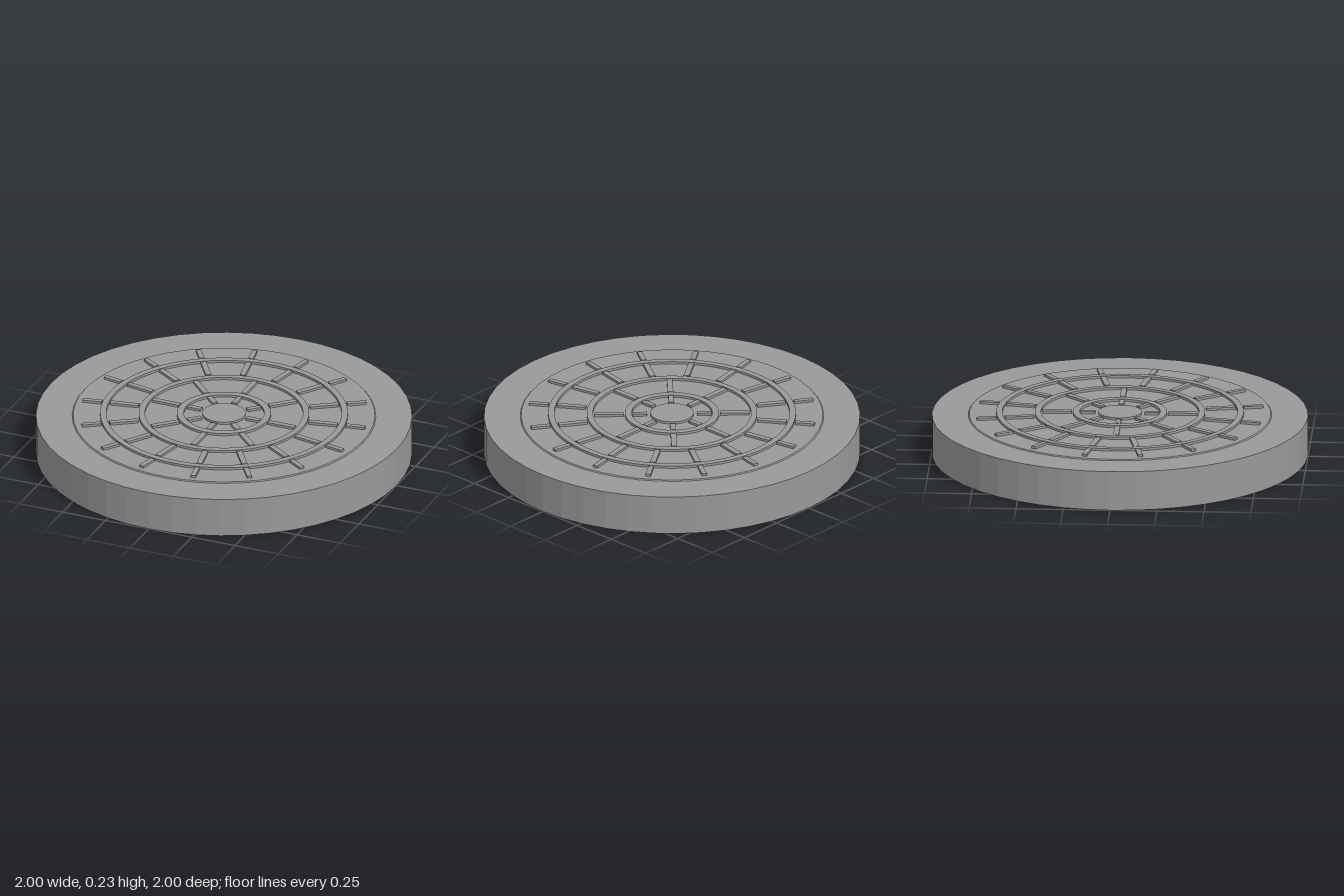
import * as THREE from 'three';

const SEGMENTS = 48;
const BASE_TOP = 0.215;
const PANEL_TOP = 0.221;
const RELIEF_TOP = 0.234;

export function createModel() {
  const model = new THREE.Group();
  model.name = 'roundMedallion';
  const material = new THREE.MeshStandardMaterial({ color: 0x999999, flatShading: true });

  const add = (name, geometry, parent = model) => {
    const mesh = new THREE.Mesh(geometry, material);
    mesh.name = name;
    parent.add(mesh);
    return mesh;
  };

  // Solid disc between two heights, optionally tapered towards the top
  const disc = (name, radius, bottom, top, topRadius = radius) => {
    add(name, new THREE.CylinderGeometry(topRadius, radius, top - bottom, SEGMENTS))
      .position.y = (bottom + top) / 2;
  };

  // Raised flat ring with a rectangular section
  const ring = (name, inner, outer) => {
    const shape = new THREE.Shape().absarc(0, 0, outer, 0, Math.PI * 2);
    shape.holes.push(new THREE.Path().absarc(0, 0, inner, 0, Math.PI * 2, true));
    const geometry = new THREE.ExtrudeGeometry(shape, {
      depth: RELIEF_TOP - BASE_TOP, bevelEnabled: false, curveSegments: SEGMENTS,
    });
    geometry.rotateX(-Math.PI / 2);
    add(name, geometry).position.y = BASE_TOP;
  };

  // Circle of radial bars
  const spokes = (name, count, inner, outer, width, offset) => {
    const group = new THREE.Group();
    group.name = name;
    const geometry = new THREE.BoxGeometry(outer - inner, RELIEF_TOP - BASE_TOP, width);
    geometry.translate((inner + outer) / 2, (RELIEF_TOP + BASE_TOP) / 2, 0);
    for (let i = 0; i < count; i++) {
      add('spoke', geometry, group).rotation.y = ((i + offset) / count) * Math.PI * 2;
    }
    model.add(group);
  };

  // Body and raised centre panel with a softened edge
  disc('base', 1, 0, BASE_TOP);
  disc('panel', 0.807, BASE_TOP, PANEL_TOP, 0.802);

  // Concentric relief
  disc('hub', 0.115, BASE_TOP, RELIEF_TOP);
  ring('innerRing', 0.214, 0.25);
  ring('middleRing', 0.42, 0.453);
  ring('outerRing', 0.625, 0.658);

  // Radial bars between the rings
  spokes('hubSpokes', 8, 0.132, 0.209, 0.028, 0);
  spokes('innerSpokes', 8, 0.257, 0.412, 0.03, 0);
  spokes('middleSpokes', 16, 0.463, 0.618, 0.03, 0.5);
  spokes('outerSpokes', 16, 0.665, 0.768, 0.027, 0.5);

  return model;
}
